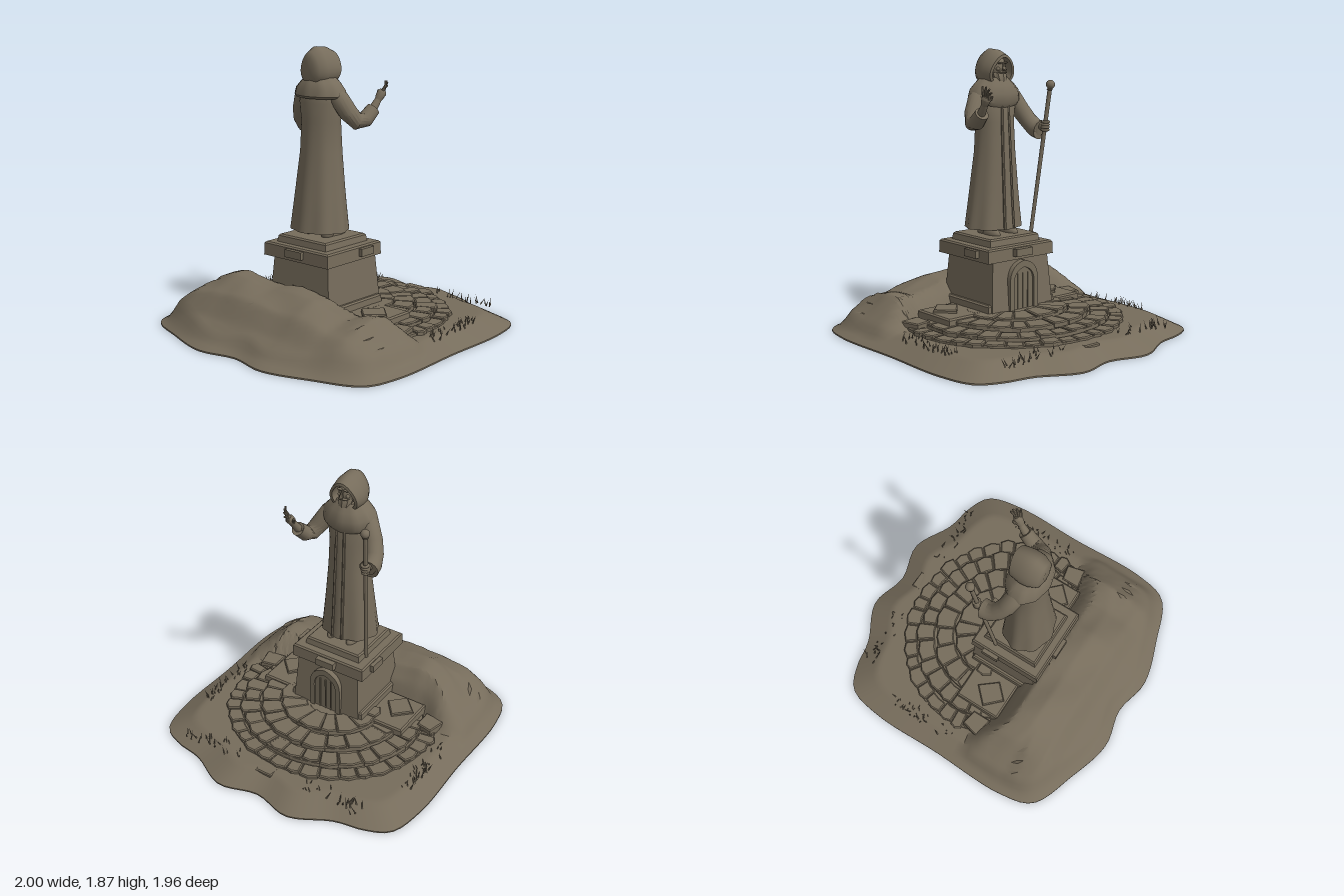
import * as THREE from 'three';
import { mergeGeometries, toCreasedNormals } from 'three/addons/utils/BufferGeometryUtils.js';

const V = (x, y, z) => new THREE.Vector3(x, y, z);
const stone = new THREE.MeshStandardMaterial({ color: 0x766c5b });
stone.name = 'weathered stone';

let seed = 7;
const rnd = () => (seed = (seed * 16807) % 2147483647) / 2147483647;
const jit = s => (rnd() - 0.5) * 2 * s;

// piecewise linear lookup in [[x, y], ...]
function lookup(table, x) {
  if (x <= table[0][0]) return table[0][1];
  for (let i = 1; i < table.length; i++) {
    const [x0, y0] = table[i - 1], [x1, y1] = table[i];
    if (x <= x1) return y0 + (y1 - y0) * (x - x0) / (x1 - x0);
  }
  return table[table.length - 1][1];
}

// skin closed rings of points, with fan caps at both ends
function loft(rings, crease = 0.7) {
  const n = rings[0].length, pos = [], idx = [];
  rings.forEach(r => r.forEach(p => pos.push(p.x, p.y, p.z)));
  for (let i = 0; i < rings.length - 1; i++)
    for (let j = 0; j < n; j++) {
      const k = (j + 1) % n, a = i * n + j, b = i * n + k, c = a + n, d = b + n;
      idx.push(a, b, d, a, d, c);
    }
  [0, rings.length - 1].forEach(i => {
    const c = rings[i].reduce((s, p) => s.add(p), V(0, 0, 0)).divideScalar(n);
    const ci = pos.length / 3;
    pos.push(c.x, c.y, c.z);
    for (let j = 0; j < n; j++) {
      const a = i * n + j, b = i * n + (j + 1) % n;
      i ? idx.push(ci, a, b) : idx.push(ci, b, a);
    }
  });
  const g = new THREE.BufferGeometry();
  g.setAttribute('position', new THREE.Float32BufferAttribute(pos, 3));
  g.setIndex(idx);
  return toCreasedNormals(g, crease);
}

// upright loft from [y, centreX, radiusX, radiusZ]; fold(angle, level) gives [scale, dy]
function upright(sections, n, fold = () => [1, 0]) {
  return loft(sections.map(([y, cx, rx, rz], i) => Array.from({ length: n }, (_, j) => {
    const a = j / n * Math.PI * 2, [s, dy] = fold(a, i / (sections.length - 1));
    return V(cx + rx * s * Math.cos(a), y + dy, -rz * s * Math.sin(a));
  })));
}

// round limb through [x, y, z, radius]
function limb(pts, n = 10) {
  const c = pts.map(p => V(p[0], p[1], p[2]));
  return loft(pts.map((p, i) => {
    const t = c[Math.min(i + 1, c.length - 1)].clone().sub(c[Math.max(i - 1, 0)]).normalize();
    const u = t.clone().cross(V(0, 0, 1)).normalize(), v = t.clone().cross(u);
    return Array.from({ length: n }, (_, j) => {
      const a = j / n * Math.PI * 2;
      return c[i].clone().addScaledVector(u, p[3] * Math.cos(a)).addScaledVector(v, p[3] * Math.sin(a));
    });
  }));
}

// block between bounds, with its top inset
function block(x0, x1, y0, y1, z, inset = 0.008) {
  const w = x1 - x0, ring = (y, k) => [[1, -1], [0, -1], [0, 1], [1, 1]].map(([s, t]) =>
    V(s ? x1 - k : x0 + k, y, t * (z - k)));
  const b = Math.min(0.01, w / 8);
  return loft([ring(y0, 0), ring(y1 - b, inset), ring(y1, inset + b)], 0.3);
}

const ball = (x, y, z, rx, ry, rz) => new THREE.SphereGeometry(1, 16, 12).scale(rx, ry, rz).translate(x, y, z);

function archShape(w, y0, spring, top) {
  const s = new THREE.Shape();
  s.moveTo(-w, y0); s.lineTo(w, y0); s.lineTo(w, spring);
  s.quadraticCurveTo(w, top - 0.02, 0, top);
  s.quadraticCurveTo(-w, top - 0.02, -w, spring);
  return s;
}

export function createModel() {
  const model = new THREE.Group();
  const add = (name, ...geos) => geos.forEach(g => {
    const m = new THREE.Mesh(g, stone);
    m.name = name;
    model.add(m);
  });

  // ground with a rocky bank behind
  const half = [[1, -.27], [.87, -.55], [.83, -.75], [.75, -.9], [.5, -.965], [0, -.965], [-.55, -.97],
    [-.78, -.9], [-.91, -.6], [-1, -.27]];
  const outline = new THREE.CatmullRomCurve3([[.94, 0], ...half, [-.95, 0], ...half.map(([x, z]) => [x, -z]).reverse()]
    .map(([x, z]) => V(x, 0, z)), true).getSpacedPoints(120).slice(0, 120);
  const ridge = [[-.97, 0], [-.85, .14], [-.65, .29], [-.45, .36], [-.28, .36], [-.1, .33], [.28, .33], [.42, .28],
    [.52, .24], [.68, .26], [.85, .13], [.97, 0]];
  const bank = [[-1, 0], [-.8, .42], [-.7, .8], [-.52, 1], [-.38, .97], [-.3, .7], [-.24, .25], [-.19, 0]];
  const height = (x, z, t) => {
    const side = THREE.MathUtils.smoothstep(Math.abs(z), 0.5, 0.78);
    const k = lookup(bank, x < -.55 ? x : x - 0.1 * side);
    const hill = k * (lookup(ridge, z) + 0.018 * Math.sin(11 * z + 5 * x) * Math.sin(9 * x + 2)) * Math.min(1, (1 - t) / 0.1);
    const soil = 0.085 * Math.min(1, (1 - t) / 0.16) + 0.006 * Math.sin(9 * x) * Math.sin(8 * z) * (1 - t);
    return 0.01 + Math.max(soil, hill);
  };
  const rings = [outline];
  for (let i = 0; i < 46; i++) {
    const t = 1 - i / 46;
    rings.push(outline.map(p => V(p.x * t, height(p.x * t, p.z * t, t), p.z * t)));
  }
  add('ground', loft(rings, 0.6));

  // stepped round terrace with loose paving stones
  const RX = 0.69, RZ = 0.75, CX = 0.05, cobbles = [];
  const paver = (pts, y, depth = 0.028) => cobbles.push(new THREE.ExtrudeGeometry(
    new THREE.Shape(pts.map(([x, y2]) => new THREE.Vector2(x, y2))),
    { depth, bevelEnabled: true, bevelThickness: 0.007, bevelSize: 0.007, bevelSegments: 1 })
    .rotateX(-Math.PI / 2).translate(0, y - depth - 0.007, 0));
  const tiers = [[.86, 1, 23, .117], [.68, .86, 18, .142], [.48, .68, 13, .168], [.22, .48, 9, .19]];
  tiers.forEach(([r0, r1, n, y]) => {
    add('terrace step', new THREE.CylinderGeometry(r1 - 0.01, r1, y - 0.012, 64)
      .scale(RX, 1, RZ).translate(CX, (y - 0.012) / 2, 0));
    const span = 1.95, cuts = Array.from({ length: n + 1 }, (_, k) => -span + 2 * span * (k + jit(0.18)) / n);
    for (let k = 0; k < n; k++) {
      const a = cuts[k] + 0.016 / r1, b = cuts[k + 1] - 0.016 / r1, m = (a + b) / 2;
      const lo = r0 + 0.015 + jit(0.012), hi = r1 - 0.01 + jit(0.018);
      paver([[lo, a], [hi - .01, a], [hi + .008, m], [hi - .01, b], [lo, b], [lo + .005, m]].map(([r, q]) =>
        [CX + RX * r * Math.cos(q), RZ * r * Math.sin(q)]), y + jit(0.008));
    }
  });
  add('side platform', block(-.27, .08, .05, .185, .57));
  [-1, 1].forEach(s => {
    paver([[-.23, .43 * s], [-.14, .34 * s], [-.03, .43 * s], [-.13, .53 * s]], .205);
    paver([[-.22, .6 * s], [-.1, .6 * s], [-.08, .7 * s], [-.2, .73 * s]], .15, .06);
  });
  paver([[.75, -.1], [.82, -.09], [.82, .02], [.75, .03]], .095);
  add('paving stones', mergeGeometries(cobbles));

  // grass tufts around the terrace
  const blades = [];
  const blade = (x, z) => blades.push(new THREE.ConeGeometry(0.006, 0.05 + rnd() * 0.03, 4).translate(0, 0.03, 0)
    .rotateX(jit(0.5)).rotateZ(jit(0.5)).translate(x, 0.075, z));
  for (let i = 0; i < 34; i++) [-1, 1].forEach(s => {
    blade(0.2 + jit(0.24), s * (0.82 + jit(0.04)));
    if (i % 3) blade(0.77 + jit(0.05), s * (0.48 + jit(0.23)));
  });
  add('grass', mergeGeometries(blades));

  // pedestal
  add('pedestal foot', block(-.4, .13, .1, .235, .29));
  add('pedestal body', block(-.38, .14, .12, .53, .265, .03));
  add('pedestal cornice', block(-.405, .12, .51, .6, .28, .003));
  add('pedestal top step', block(-.35, .06, .59, .65, .215));
  add('front plaque', new THREE.BoxGeometry(.05, .05, .14).translate(.13, .56, 0));
  add('back plaque', new THREE.BoxGeometry(.05, .05, .14).translate(-.405, .56, 0));
  [-1, 1].forEach(s => add('side plaque', new THREE.BoxGeometry(.12, .05, .04).translate(-.04, .56, s * .285)));

  // arched door
  const frame = archShape(.12, .17, .36, .505);
  frame.holes.push(archShape(.085, .172, .36, .46));
  add('door frame', new THREE.ExtrudeGeometry(frame, { depth: .05, bevelEnabled: false }).rotateY(Math.PI / 2).translate(.1, 0, 0));
  add('door', new THREE.ExtrudeGeometry(archShape(.087, .17, .36, .462), { depth: .035, bevelEnabled: false })
    .rotateY(Math.PI / 2).translate(.1, 0, 0));
  for (let i = -1; i <= 1; i++)
    add('door batten', new THREE.BoxGeometry(.008, .24, .008).translate(.138, .3, i * .043));

  // feet and robe
  [-1, 1].forEach(s => add('foot', ball(-.1, .655, s * .075, .085, .045, .038), ball(-.18, .68, s * .075, .05, .06, .04)));
  const robe = [[.69, -.17, .17, .2], [.82, -.167, .158, .185], [.95, -.163, .147, .17], [1.2, -.153, .126, .143],
    [1.4, -.153, .116, .135], [1.52, -.155, .112, .155], [1.6, -.16, .09, .14], [1.67, -.16, .05, .07]];
  add('robe', upright(robe, 48, (a, l) => [1 + 0.035 * Math.cos(a * 8) * Math.max(0, 1 - l * 1.5), 0]));
  [-1, 1].forEach(s => add('robe front trim', limb(robe.slice(0, 6).map(([y, cx, rx], i) =>
    [cx + rx * (i < 3 ? 1 : .98), y, s * (.038 - i * .002), .009]), 6)));

  // cowl over the shoulders, dipping at the chest
  const dip = (a, l) => [1 + 0.02 * Math.cos(a * 10), -(1 - l) * 0.055 * Math.max(0, Math.cos(a))];
  add('cowl', upright([[1.55, -.16, .12, .18], [1.565, -.158, .135, .192], [1.61, -.155, .132, .18],
    [1.65, -.155, .115, .14], [1.69, -.16, .085, .09]], 40, dip));

  // hood: [x, top, bottom, half width], out to the rim and back inside
  const hood = [[-.268, 1.8, 1.68, .04], [-.255, 1.845, 1.64, .08], [-.2, 1.874, 1.62, .105], [-.12, 1.868, 1.62, .11],
    [-.05, 1.838, 1.635, .1], [-.047, 1.82, 1.65, .08], [-.09, 1.825, 1.66, .075], [-.17, 1.8, 1.68, .06]];
  add('hood', loft(hood.map(([x, t, b, w], i) => Array.from({ length: 28 }, (_, j) => {
    const a = j / 28 * Math.PI * 2, c = Math.cos(a);
    const lean = i > 2 && i < 7 ? 0.02 * (c - 1) : 0;
    return V(x + lean, (t + b) / 2 + (t - b) / 2 * c, w * Math.sin(a) * (1 - 0.24 * c));
  })), 0.9));

  // bearded face
  add('face', ball(-.125, 1.745, 0, .06, .085, .058));
  add('nose', limb([[-.067, 1.785, 0, .006], [-.055, 1.76, 0, .01], [-.052, 1.745, 0, .014], [-.065, 1.736, 0, .008]], 8));
  [-1, 1].forEach(s => {
    add('brow', ball(-.073, 1.784, s * .024, .012, .007, .02));
    add('cheek', ball(-.082, 1.745, s * .03, .016, .014, .014));
    add('moustache', ball(-.067, 1.723, s * .015, .013, .008, .02));
  });
  add('beard', upright([[1.615, -.08, .012, .012], [1.64, -.085, .028, .03], [1.68, -.095, .038, .045], [1.72, -.11, .042, .052],
    [1.735, -.12, .03, .045]], 18, a => [1 + 0.05 * Math.cos(a * 9), 0]));

  // raised arm with an open hand
  add('raised sleeve', limb([[-.16, 1.6, .1, .04], [-.15, 1.55, .15, .062], [-.12, 1.46, .205, .06], [-.075, 1.405, .24, .056],
    [-.02, 1.415, .258, .052], [.045, 1.475, .268, .046], [.04, 1.47, .268, .03]], 16));
  add('raised forearm', limb([[0, 1.43, .262, .03], [.06, 1.5, .272, .026], [.085, 1.535, .278, .022]], 12));
  add('raised palm', limb([[.075, 1.52, .277, .018], [.09, 1.545, .28, .027], [.11, 1.575, .285, .031], [.12, 1.59, .288, .02]], 10));
  const fingers = [[.108, 1.655, .315], [.135, 1.652, .305], [.155, 1.638, .295], [.166, 1.615, .285]];
  fingers.forEach(([x, y, z], i) => add('raised finger',
    limb([[.1 + i * .01, 1.592 - i * .008, .3 - i * .006, .01], [(x + .112) / 2, (y + 1.592) / 2, z, .009], [x, y, z, .006]], 7)));
  add('raised thumb', limb([[.095, 1.55, .265, .011], [.115, 1.57, .25, .01], [.125, 1.59, .245, .006]], 7));

  // arm gripping the staff, with a hanging cuff
  add('staff sleeve', limb([[-.16, 1.6, -.1, .04], [-.15, 1.55, -.15, .062], [-.12, 1.46, -.2, .06], [-.08, 1.39, -.235, .058],
    [-.03, 1.345, -.25, .062], [.02, 1.335, -.254, .066], [.015, 1.335, -.254, .04]], 16));
  add('staff forearm', limb([[-.02, 1.355, -.252, .03], [.05, 1.365, -.257, .024]], 12));
  add('gripping palm', ball(.058, 1.365, -.268, .026, .04, .018));
  for (let i = 0; i < 4; i++)
    add('gripping finger', new THREE.TorusGeometry(.02, .0095, 8, 14).rotateX(Math.PI / 2)
      .translate(.063 + i * .002, 1.338 + i * .018, -.256));

  // staff
  add('staff', limb([[-.035, .6, -.213, .013], [.03, 1.12, -.243, .014], [.094, 1.62, -.27, .015]], 12));
  add('staff knob', ball(.097, 1.64, -.271, .03, .03, .03));
  add('staff collar', ball(.092, 1.608, -.269, .02, .01, .02));
  return model;
}
